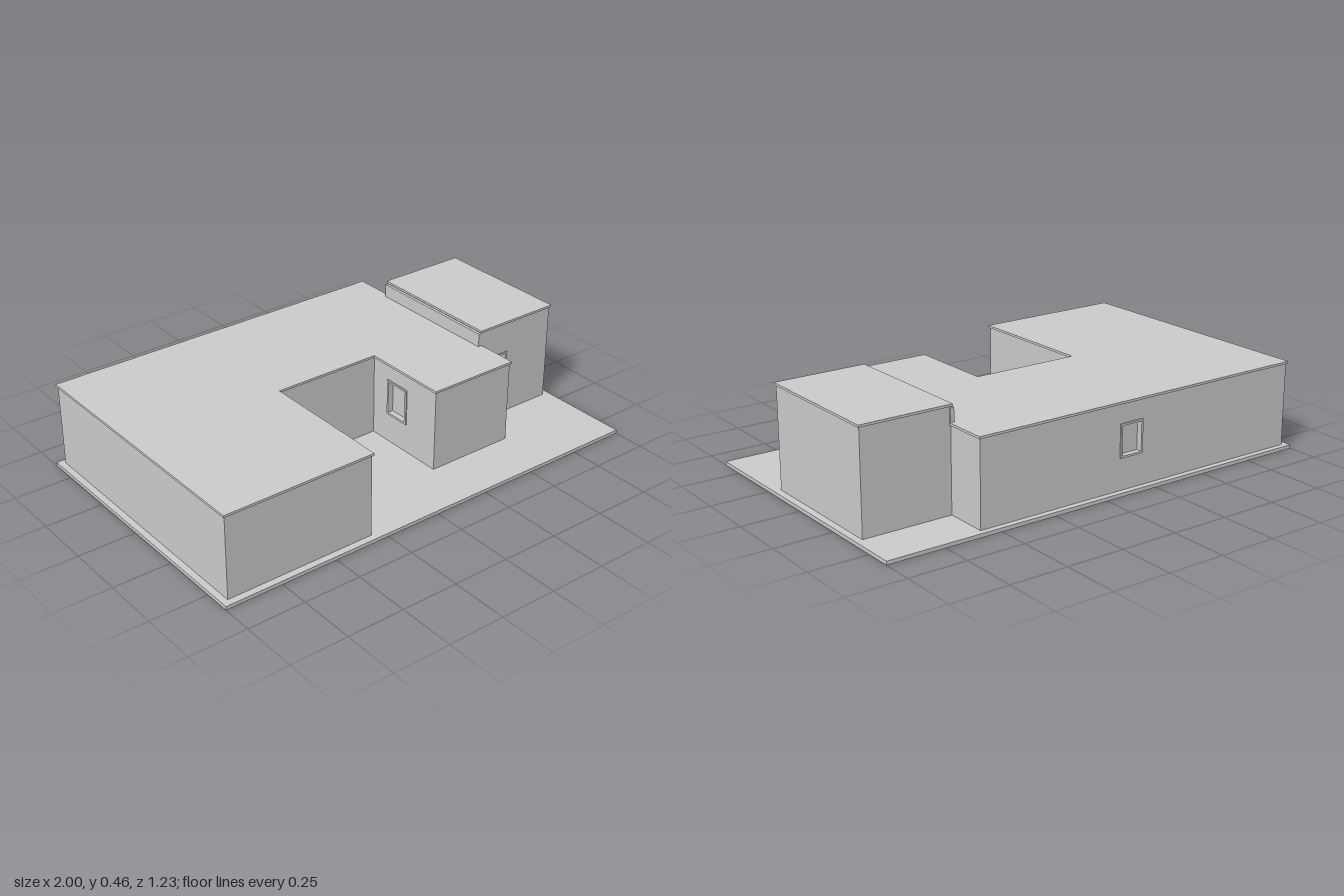
import * as THREE from 'three';

const BASE_TOP = 0.016;

export function createModel() {
  const grey = new THREE.MeshStandardMaterial({ color: 0xcccccc });
  grey.name = 'plain grey';
  const model = new THREE.Group();
  model.name = 'house';

  const add = (parent, name, geometry) => {
    const mesh = new THREE.Mesh(geometry, grey);
    mesh.name = name;
    parent.add(mesh);
    return mesh;
  };
  const box = (parent, name, x0, x1, y0, y1, z0, z1) =>
    add(parent, name, new THREE.BoxGeometry(x1 - x0, y1 - y0, z1 - z0))
      .position.set((x0 + x1) / 2, (y0 + y1) / 2, (z0 + z1) / 2);

  const rectangle = (Type, x0, x1, y0, y1) => {
    const p = new Type();
    p.moveTo(x0, y0).lineTo(x1, y0).lineTo(x1, y1).lineTo(x0, y1).closePath();
    return p;
  };
  const extrude = (shape, depth) =>
    new THREE.ExtrudeGeometry(shape, { depth, bevelEnabled: false });

  // A wall from a to b (x, z), its outside on local +z, with an optional window
  function addWall(parent, a, b, top, win) {
    const dx = b[0] - a[0], dz = b[1] - a[1];
    const wall = new THREE.Group();
    wall.name = 'wall';
    wall.position.set(a[0], 0, a[1]);
    wall.rotation.y = Math.atan2(-dz, dx);
    parent.add(wall);
    const thick = win ? win.depth : 0.02;
    const shape = rectangle(THREE.Shape, 0, Math.hypot(dx, dz), BASE_TOP, top);
    if (win) {
      const { u0, u1, y0, y1 } = win, f = 0.009;
      const hole = () => rectangle(THREE.Path, u0 + f, u1 - f, y0 + f, y1 - f);
      shape.holes.push(hole());
      // Slightly proud frame and the recessed pane
      const frame = rectangle(THREE.Shape, u0, u1, y0, y1);
      frame.holes.push(hole());
      add(wall, 'windowFrame', extrude(frame, 0.005));
      box(wall, 'windowPane', u0, u1, y0, y1, -thick - 0.004, -thick);
    }
    add(wall, 'wallPanel', extrude(shape, thick)).position.z = -thick;
  }

  // Push each corner of a right-angled outline outwards
  function offset(outline, d) {
    const n = outline.length;
    return outline.map((p, i) => {
      const q = [...p];
      for (const [a, b] of [[outline[(i + n - 1) % n], p], [p, outline[(i + 1) % n]]]) {
        q[0] -= d * Math.sign(b[1] - a[1]);
        q[1] += d * Math.sign(b[0] - a[0]);
      }
      return q;
    });
  }

  // Walls around an outline, closed by a thin overhanging roof
  function addBlock(name, outline, height, roofThick, windows) {
    const block = new THREE.Group();
    block.name = name;
    model.add(block);
    outline.forEach((a, i) => addWall(block, a, outline[(i + 1) % outline.length],
      height - roofThick, windows[i]));
    const shape = new THREE.Shape(offset(outline, 0.006).map(([x, z]) => new THREE.Vector2(x, -z)));
    const roof = extrude(shape, roofThick);
    roof.rotateX(-Math.PI / 2);
    add(block, 'roof', roof).position.y = height - roofThick;
    return block;
  }

  // Ground slab
  box(model, 'baseSlab', -1, 1, 0, BASE_TOP, -0.615, 0.615);

  // Low U-shaped house with a courtyard window and a back window
  addBlock('mainHouse', [
    [-0.972, 0.585], [-0.312, 0.585], [-0.312, -0.012], [0.182, -0.012],
    [0.182, 0.375], [0.58, 0.375], [0.58, -0.59], [-0.972, -0.59],
  ], 0.382, 0.01, {
    3: { u0: 0.09, u1: 0.212, y0: 0.145, y1: 0.305, depth: 0.02 },
    6: { u0: 0.66, u1: 0.772, y0: 0.15, y1: 0.292, depth: 0.02 },
  });

  // Taller side block with a deep front window
  const tall = addBlock('tallBlock', [
    [0.58, 0.2], [0.97, 0.2], [0.97, -0.405], [0.58, -0.405],
  ], 0.455, 0.01, {
    0: { u0: 0.06, u1: 0.15, y0: 0.17, y1: 0.31, depth: 0.07 },
  });

  // Raised strip where the tall block rises above the low roof
  box(tall, 'sideStrip', 0.567, 0.585, 0.38, 0.44, -0.41, 0.2);

  return model;
}
